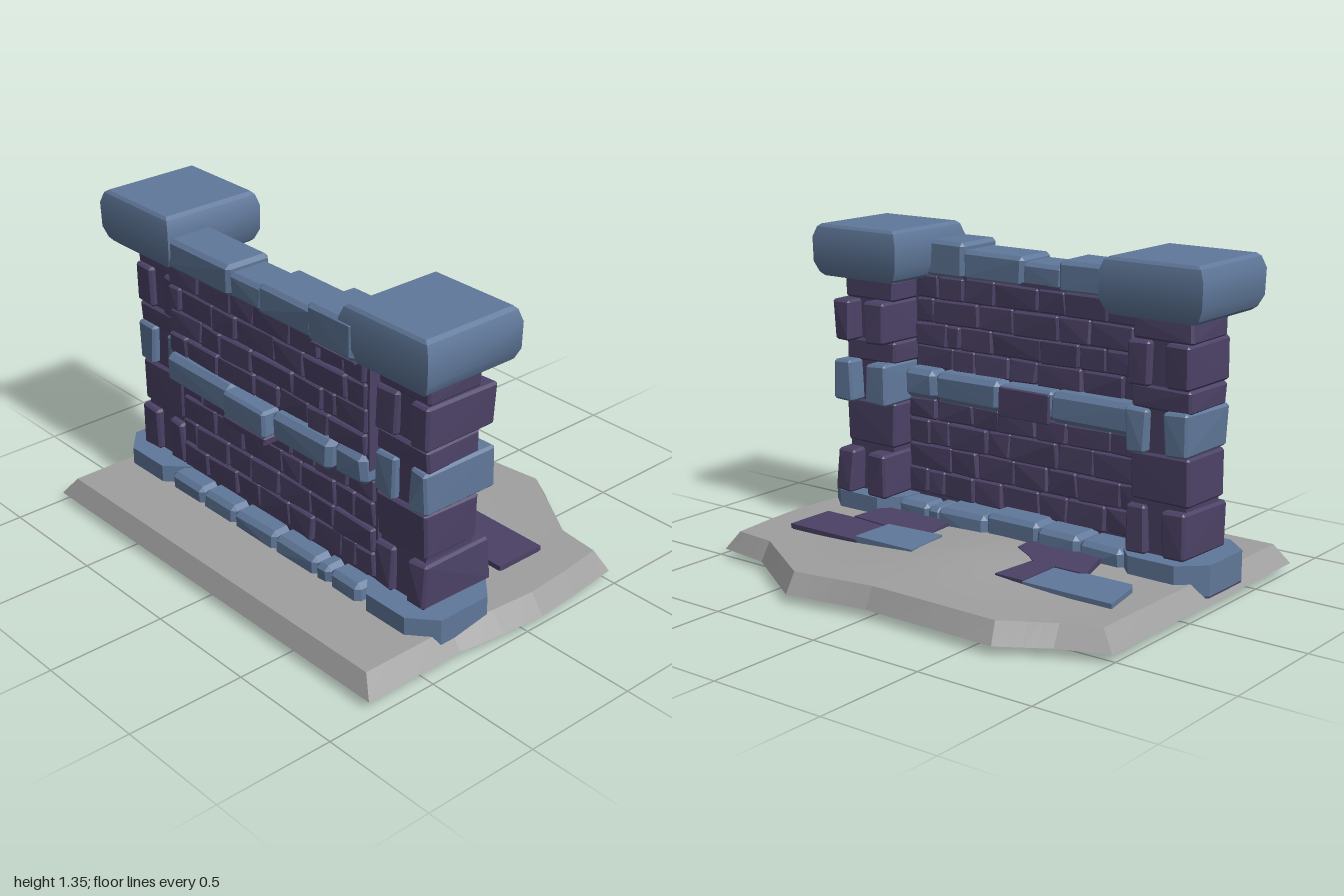
import * as THREE from 'three';
import { ConvexGeometry } from 'three/addons/geometries/ConvexGeometry.js';
import { toCreasedNormals } from 'three/addons/utils/BufferGeometryUtils.js';

const blue = new THREE.MeshStandardMaterial({ color: 0x60789a });
blue.name = 'blue stone';
const purple = new THREE.MeshStandardMaterial({ color: 0x4c4266 });
purple.name = 'purple stone';
const grey = new THREE.MeshStandardMaterial({ color: 0x9f9f9f, side: THREE.DoubleSide });
grey.name = 'grey ground';

let seed = 7;
const rand = () => {
  seed = (seed * 16807) % 2147483647;
  return seed / 2147483647 - 0.5;
};

function add(parent, name, geometry, material) {
  const mesh = new THREE.Mesh(geometry, material);
  mesh.name = name;
  parent.add(mesh);
  return mesh;
}

// Chamfered, slightly irregular block filling the given ranges
function stone(parent, name, material, [x0, x1], [y0, y1], [z0, z1], bevel = 0.01, wobble = 0.008) {
  const points = [];
  for (const sx of [-1, 1]) for (const sy of [-1, 1]) for (const sz of [-1, 1]) {
    const corner = new THREE.Vector3(
      (sx < 0 ? x0 : x1) + rand() * wobble,
      (sy < 0 ? y0 : y1) + rand() * wobble * 0.6,
      (sz < 0 ? z0 : z1) + rand() * wobble);
    for (let axis = 0; axis < 3; axis++) {
      const inset = new THREE.Vector3(sx, sy, sz).multiplyScalar(-bevel);
      inset.setComponent(axis, 0);
      points.push(inset.add(corner));
    }
  }
  return add(parent, name, new ConvexGeometry(points), material);
}

// Flat polygon in x, z raised from y0 to y1
function slab(parent, name, material, outline, y0, y1) {
  const shape = new THREE.Shape(outline.map(([x, z]) => new THREE.Vector2(x, -z)));
  const geo = new THREE.ExtrudeGeometry(shape, { depth: y1 - y0, bevelEnabled: false });
  geo.rotateX(-Math.PI / 2).translate(0, y0, 0);
  return add(parent, name, geo, material);
}

// Open shell: concentric rings from the rim towards a low mound
function buildGround(parent) {
  const bottom = [[-0.78, -1], [0.52, -1], [0.6, -0.8], [0.72, -0.61], [0.71, 0], [0.77, 0.36],
    [0.54, 0.72], [0.51, 0.96], [0.28, 0.985], [0.08, 1], [-0.12, 0.985], [-0.32, 0.96], [-0.78, 0.96]];
  const top = [[-0.74, -0.94], [0.49, -0.94], [0.55, -0.79], [0.67, -0.59], [0.67, 0], [0.72, 0.36],
    [0.5, 0.71], [0.48, 0.9], [0.28, 0.925], [0.08, 0.94], [-0.12, 0.925], [-0.32, 0.9], [-0.74, 0.9]];
  const split = (list) => list.flatMap(([x, z], i) => {
    const [nx, nz] = list[(i + 1) % list.length];
    return [0, 0.25, 0.5, 0.75].map((t) => [x + (nx - x) * t, z + (nz - z) * t]);
  });
  const height = (x, z) => 0.115 + 0.04 * Math.exp(-(((x - 0.2) / 0.33) ** 2) - ((z + 0.05) / 0.4) ** 2);
  const loft = (rings) => {
    const n = rings[0].length, index = [];
    for (let r = 0; r < rings.length - 1; r++) {
      for (let i = 0; i < n; i++) {
        const a = r * n + i, b = r * n + (i + 1) % n;
        index.push(a, a + n, b, b, a + n, b + n);
      }
    }
    const geo = new THREE.BufferGeometry();
    geo.setAttribute('position', new THREE.Float32BufferAttribute(rings.flat(2), 3));
    geo.setIndex(index);
    return geo;
  };
  const rim = split(top), foot = split(bottom);
  const skirt = loft([foot.map(([x, z]) => [x, 0.035, z]), rim.map(([x, z]) => [x, height(x, z), z])]).toNonIndexed();
  const rings = [];
  for (let k = 0; k <= 10; k++) {
    const t = k / 10;
    rings.push(rim.map(([x, z]) => {
      const px = x + (0.2 - x) * t, pz = z + (-0.05 - z) * t;
      return [px, height(px, pz), pz];
    }));
  }
  const surface = loft(rings);
  for (const geo of [skirt, surface]) geo.computeVertexNormals();
  add(parent, 'groundEdge', skirt, grey);
  add(parent, 'groundTop', surface, grey);
}

// Flagstones: buried blocks with thin exposed tops
function buildPaving(parent) {
  const buried = [[[0.09, 0.32], [-0.87, -0.31], 0.114], [[-0.11, 0.11], [-0.6, -0.09], 0.114],
    [[0.09, 0.32], [0.1, 0.76], 0.13], [[-0.11, 0.1], [0, 0.61], 0.114]];
  for (const [x, z, y] of buried) stone(parent, 'buriedFlagstone', purple, x, [0, y], z, 0.01, 0);
  const tops = [
    [blue, 0.138, [[0.09, -0.8], [0.12, -0.82], [0.32, -0.86], [0.32, -0.45], [0.09, -0.45]]],
    [purple, 0.144, [[0.11, -0.45], [0.32, -0.45], [0.32, -0.32], [0.11, -0.34]]],
    [purple, 0.143, [[-0.1, -0.53], [0.09, -0.59], [0.11, -0.57], [0.11, -0.35], [0.06, -0.29], [0, -0.19], [-0.1, -0.18]]],
    [blue, 0.153, [[0.09, 0.13], [0.13, 0.12], [0.32, 0.1], [0.32, 0.4], [0.11, 0.4]]],
    [purple, 0.138, [[0.09, 0.4], [0.32, 0.39], [0.32, 0.76], [0.09, 0.76]]],
    [purple, 0.143, [[-0.1, 0.24], [0.09, 0.2], [0.11, 0.4], [0.09, 0.61], [-0.1, 0.6]]],
  ];
  for (const [mat, y, outline] of tops) slab(parent, 'flagstoneTop', mat, outline, 0.118, y);
}

function buildPillar(parent, zc, side, reach) {
  const pillar = new THREE.Group();
  pillar.name = side + 'Pillar';
  pillar.position.z = zc;
  parent.add(pillar);

  // Eight-sided footing with a purple underside
  const octagon = [[-0.48, -0.09], [-0.39, -0.18], [-0.15, -0.18], [-0.055, -0.09],
    [-0.055, 0.12], [-0.15, 0.225], [-0.39, 0.225], [-0.48, 0.12]]
    .map(([x, z]) => [x, side === 'front' ? z : -z]);
  slab(pillar, 'footing', blue, octagon, 0.065, 0.19);
  slab(pillar, 'footingUnderside', purple, octagon, 0.058, 0.065);

  add(pillar, 'pillarCore', new THREE.BoxGeometry(0.24, 0.98, 0.24).translate(-0.255, 0.66, 0), purple);
  for (const y of [[0.4, 0.595], [0.765, 0.86], [1.035, 1.125]]) {
    stone(pillar, 'narrowCourse', purple, [-0.39, -0.125], y, [-0.135, 0.135]);
  }
  // Paired long stones with a recess between them
  for (const [y, mat] of [[[0.19, 0.38], purple], [[0.595, 0.77], blue], [[0.86, 1.035], purple]]) {
    stone(pillar, 'cornerStoneRear', mat, [-0.402, reach], y, [-0.137, -0.03], 0.01, 0.014);
    stone(pillar, 'cornerStoneFront', mat, [-0.402, reach], y, [0.048, 0.142], 0.01, 0.014);
  }
  // Capstone with gently bulging, smooth sides
  const rings = [[1.13, 0.045], [1.145, 0.025], [1.19, 0.003], [1.295, 0], [1.34, 0.018], [1.352, 0.035]];
  const points = rings.flatMap(([y, d]) => [-1, 1].flatMap((sx) => [-1, 1].map((sz) =>
    new THREE.Vector3(-0.26 + sx * (0.232 - d * 0.6), y, sz * (0.23 - d)))));
  add(pillar, 'capstone', toCreasedNormals(new ConvexGeometry(points), 0.45), blue);
}

function buildWall(parent) {
  const wall = new THREE.Group();
  wall.name = 'wall';
  parent.add(wall);
  const upper = [-0.445, -0.265], lower = [-0.4, -0.22];

  // Mortar core behind the bricks
  for (const [x, y0, y1] of [[lower, 0.1, 0.65], [upper, 0.65, 1.16]]) {
    add(wall, 'mortarCore', new THREE.BoxGeometry(x[1] - x[0] - 0.03, y1 - y0, 1.2)
      .translate((x[0] + x[1]) / 2, (y0 + y1) / 2, -0.03), purple);
  }
  // Brick courses: bottom, top, then the joints along z
  const courses = [
    [0.2, 0.308, [-0.62, -0.46, -0.27, -0.13, 0.06, 0.21, 0.37, 0.46, 0.56]],
    [0.31, 0.418, [-0.62, -0.53, -0.32, -0.17, 0, 0.19, 0.33, 0.56]],
    [0.42, 0.528, [-0.62, -0.4, -0.22, 0.02, 0.14, 0.34, 0.45, 0.56]],
    [0.53, 0.62, [-0.62, -0.48, -0.27, -0.11, 0.08, 0.22, 0.41, 0.56]],
    [0.745, 0.838, [-0.62, -0.51, -0.31, -0.08, 0.06, 0.24, 0.36, 0.56]],
    [0.84, 0.938, [-0.62, -0.42, -0.29, -0.1, 0.15, 0.32, 0.39, 0.56]],
    [0.94, 1.043, [-0.62, -0.55, -0.34, -0.19, 0.04, 0.22, 0.46, 0.56]],
    [1.045, 1.145, [-0.62, -0.43, -0.22, -0.08, 0.14, 0.3, 0.44, 0.56]],
  ];
  for (const [y0, y1, joints] of courses) {
    const [back, front] = y0 < 0.65 ? lower : upper;
    for (let i = 0; i < joints.length - 1; i++) {
      stone(wall, 'brick', purple, [back + rand() * 0.012, front + rand() * 0.012],
        [y0, y1], [joints[i] + 0.002, joints[i + 1] - 0.002], 0.007, 0.01);
    }
  }
  // Middle band
  for (const [z0, z1, x0] of [[0.4, 0.57, -0.46], [0.06, 0.4, -0.48], [-0.62, -0.2, -0.48]]) {
    stone(wall, 'middleBandStone', blue, [x0, -0.19], [0.62, 0.75], [z0, z1], 0.022);
  }
  // Deep central stone with a purple front face and underside
  stone(wall, 'throughStone', blue, [-0.51, -0.195], [0.63, 0.745], [-0.205, 0.055], 0.012);
  stone(wall, 'throughStoneFace', purple, [-0.205, -0.186], [0.612, 0.735], [-0.2, 0.055], 0.004, 0.004);
  stone(wall, 'throughStoneUnderside', purple, [-0.51, -0.36], [0.6, 0.637], [-0.205, 0.057], 0.006, 0.004);

  // Base trim, front and back, with purple undersides
  for (const [z0, z1, y1, x1] of [[0.38, 0.55, 0.185, -0.12], [0.3, 0.38, 0.185, -0.11], [0.05, 0.3, 0.2, -0.085],
    [-0.21, 0.05, 0.215, -0.1], [-0.42, -0.21, 0.205, -0.085], [-0.63, -0.42, 0.19, -0.09]]) {
    stone(wall, 'baseTrimStone', blue, [-0.33, x1], [0.075, y1], [z0, z1], 0.02);
    stone(wall, 'rearBaseTrimStone', blue, [-0.47, -0.31], [0.09, 0.185], [z0, z1], 0.02);
    add(wall, 'baseTrimUnderside', new THREE.BoxGeometry(x1 + 0.29, 0.009, z1 - z0 - 0.04)
      .translate((x1 - 0.33) / 2, 0.07, (z0 + z1) / 2), purple);
  }

  // Coping
  for (const [z0, z1, y0, y1, x0, x1] of [[0.3, 0.55, 1.14, 1.295, -0.495, -0.265], [0, 0.31, 1.14, 1.265, -0.48, -0.27],
    [-0.19, 0.01, 1.14, 1.245, -0.47, -0.28], [-0.57, -0.18, 1.14, 1.27, -0.48, -0.27]]) {
    stone(wall, 'copingStone', blue, [x0, x1], [y0, y1], [z0, z1], 0.016);
  }
  add(wall, 'copingUnderside', new THREE.BoxGeometry(0.215, 0.009, 0.24).translate(-0.38, 1.136, 0.43), purple);
}

export function createModel() {
  seed = 7;
  const model = new THREE.Group();
  model.name = 'stoneWallSection';
  buildGround(model);
  buildPaving(model);
  buildPillar(model, 0.7, 'front', -0.055);
  buildPillar(model, -0.77, 'rear', -0.1);
  buildWall(model);
  return model;
}
